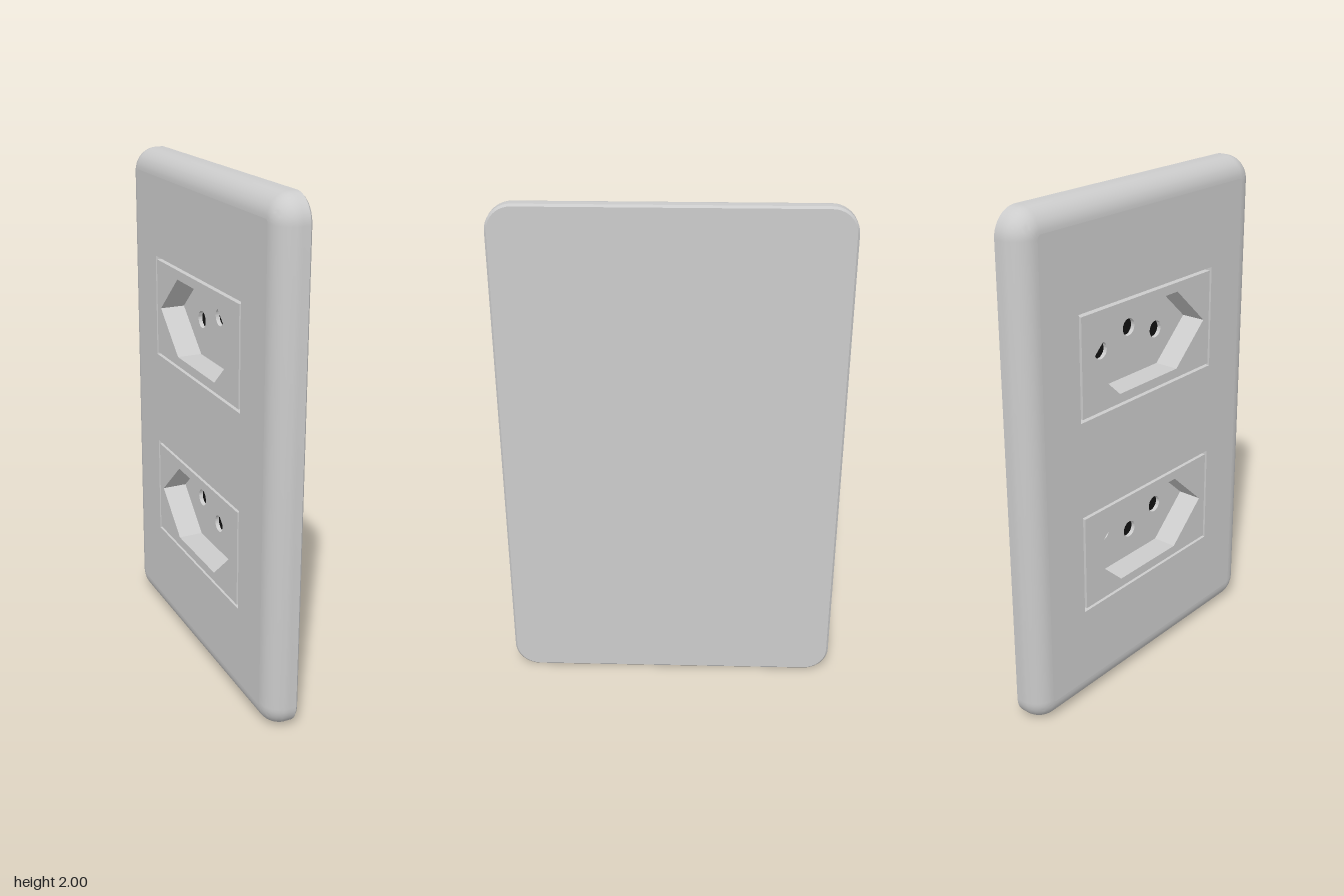
import * as THREE from 'three';
import { toCreasedNormals } from 'three/addons/utils/BufferGeometryUtils.js';

const grey = new THREE.MeshStandardMaterial({ color: 0xcccccc });
const dark = new THREE.MeshStandardMaterial({ color: 0x111111 });

// Built lying in XY with the socket face towards +z, then turned to face -x.
const HALF_W = 0.66, HALF_H = 1, CORNER = 0.1, ROUND = 0.085;
const FACE = 0.06, BACK = -0.06, FLOOR = -0.04;
const MODULE_W = 0.75, MODULE_H = 0.385, GAP = 0.012, SOCKET_Y = 0.395;

function mesh(name, geometry, material = grey) {
  const m = new THREE.Mesh(geometry, material);
  m.name = name;
  return m;
}

// Rounded rectangle of the plate, shrunk by an inset, counter-clockwise
function outline(inset) {
  const r = CORNER - inset, pts = [];
  const cx = HALF_W - CORNER, cy = HALF_H - CORNER;
  [[1, 1], [-1, 1], [-1, -1], [1, -1]].forEach(([sx, sy], q) => {
    for (let k = 0; k <= 10; k++) {
      const a = (q + k / 10) * Math.PI / 2;
      pts.push(new THREE.Vector2(sx * cx + r * Math.cos(a), sy * cy + r * Math.sin(a)));
    }
  });
  return pts;
}

function rect(w, h, y = 0) {
  return [[-1, -1], [1, -1], [1, 1], [-1, 1]].map(([a, b]) => new THREE.Vector2(a * w / 2, y + b * h / 2));
}

// Flat slab between two z levels, with optional holes
function slab(points, holes, z0, z1) {
  const shape = new THREE.Shape(points);
  shape.holes = holes.map(h => new THREE.Path(h));
  return new THREE.ExtrudeGeometry(shape, { depth: z1 - z0, bevelEnabled: false }).translate(0, 0, z0);
}

// Rim lofted from the small back bevel to the large front rounding
function rimGeometry() {
  const profile = [[0.008, BACK], [0, BACK + 0.008]];
  for (let k = 0; k <= 12; k++) {
    const t = k / 12 * Math.PI / 2;
    profile.push([ROUND * (1 - Math.cos(t)), FACE - ROUND + ROUND * Math.sin(t)]);
  }
  const pos = [], index = [];
  let n = 0;
  profile.forEach(([inset, z], i) => {
    const ring = outline(inset);
    n = ring.length;
    ring.forEach(p => pos.push(p.x, p.y, z));
    if (i === 0) return;
    for (let j = 0; j < n; j++) {
      const a = (i - 1) * n + j, b = (i - 1) * n + (j + 1) % n;
      index.push(a, b, b + n, a, b + n, a + n);
    }
  });
  const g = new THREE.BufferGeometry();
  g.setAttribute('position', new THREE.Float32BufferAttribute(pos, 3));
  g.setIndex(index);
  return toCreasedNormals(g, 0.5);
}

// Socket insert: bezel with hexagonal recess, pierced floor, dark contacts
function socket() {
  const g = new THREE.Group();
  g.name = 'socket';
  const hex = [[-0.34, 0], [-0.17, -0.156], [0.17, -0.156], [0.34, 0], [0.17, 0.156], [-0.17, 0.156]]
    .map(([x, y]) => new THREE.Vector2(x, y));
  g.add(mesh('bezel', slab(rect(MODULE_W, MODULE_H), [hex], FLOOR, FACE)));

  const pins = [[-0.161, 0.012], [0, -0.038], [0.161, 0.012]].map(([x, y]) =>
    new THREE.Path().absarc(x, y, 0.034, 0, Math.PI * 2).getPoints(24).slice(0, -1));
  const base = rect(MODULE_W + 2 * GAP, MODULE_H + 2 * GAP);
  g.add(mesh('recessFloor', toCreasedNormals(slab(base, pins, FLOOR - 0.017, FLOOR), 0.6)));

  const contacts = mesh('contacts', new THREE.PlaneGeometry(0.5, 0.2), dark);
  contacts.position.z = FLOOR - 0.0165;
  g.add(contacts);
  return g;
}

export function createModel() {
  const body = new THREE.Group();
  body.name = 'wallOutlet';

  // Cover plate: rim, face with two openings, flat back
  const openings = [1, -1].map(s => rect(MODULE_W + 2 * GAP, MODULE_H + 2 * GAP, s * SOCKET_Y));
  body.add(mesh('plateRim', rimGeometry()));
  body.add(mesh('plateFace', slab(outline(ROUND), openings, FLOOR, FACE)));
  const back = mesh('plateBack', new THREE.ShapeGeometry(new THREE.Shape(outline(0.008))));
  back.rotation.y = Math.PI;
  back.position.z = BACK;
  body.add(back);

  // Two sockets, the upper one turned upside down
  [1, -1].forEach(s => {
    const unit = socket();
    unit.position.y = s * SOCKET_Y;
    if (s > 0) unit.rotation.z = Math.PI;
    body.add(unit);
  });

  body.rotation.y = -Math.PI / 2;
  body.position.y = HALF_H;
  const model = new THREE.Group();
  model.add(body);
  return model;
}
